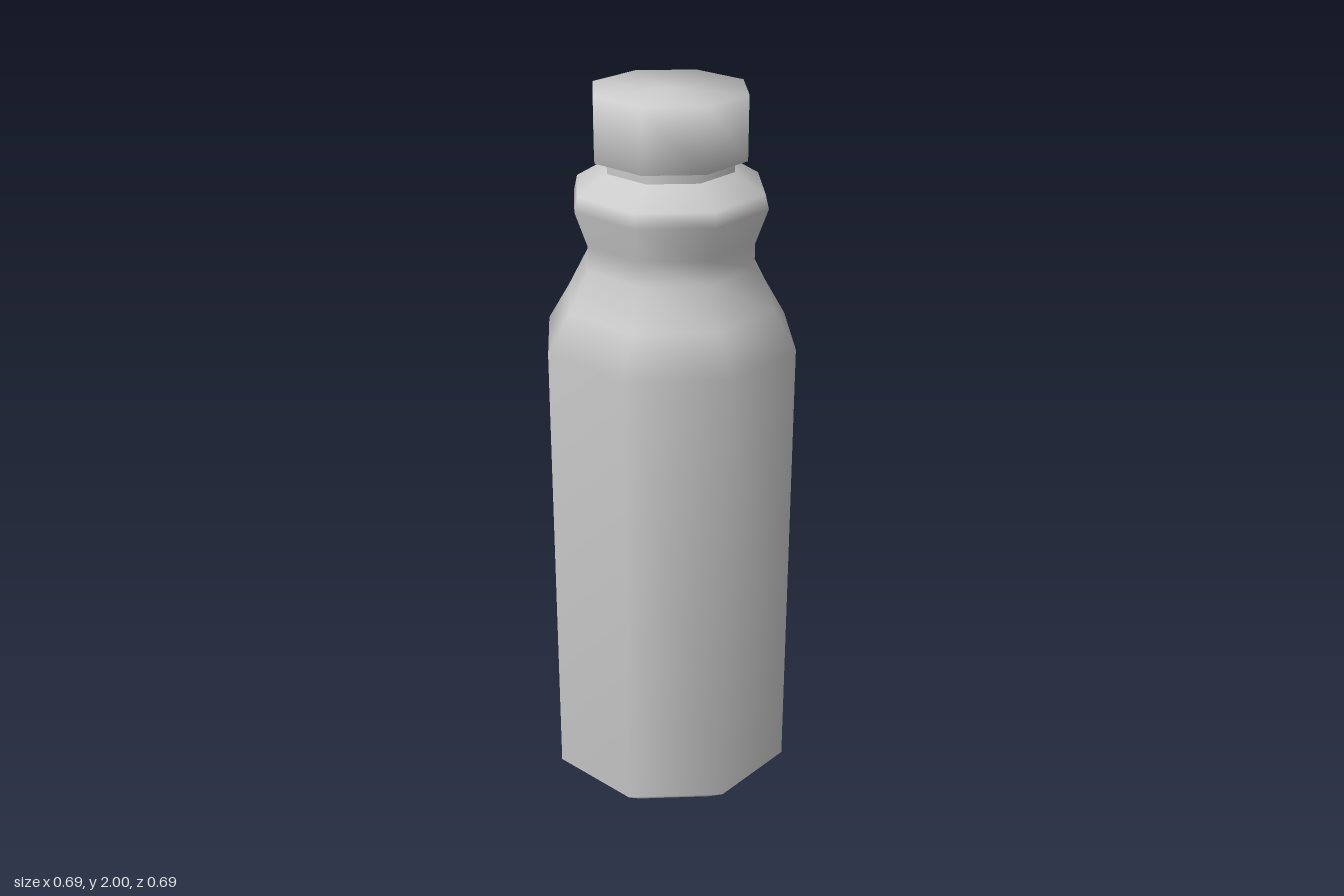
import * as THREE from 'three';

const SIDES = 8;

// Turned octagonal part with smooth normals; profile is [radius, height] from bottom to top
function turned(name, profile, material) {
  const points = profile.map(([r, y]) => new THREE.Vector2(r, y));
  const mesh = new THREE.Mesh(new THREE.LatheGeometry(points, SIDES), material);
  mesh.name = name;
  return mesh;
}

export function createModel() {
  const model = new THREE.Group();
  model.name = 'bottle';
  const material = new THREE.MeshStandardMaterial({ color: 0xcccccc });

  // Body: chamfered base, straight wall, sloping shoulder, grip waist and collar
  model.add(turned('body', [
    [0, 0],
    [0.258, 0],
    [0.347, 0.07],
    [0.347, 1.345],
    [0.285, 1.45],
    [0.23, 1.555],
    [0.23, 1.62],
    [0.264, 1.715],
    [0.255, 1.752],
    [0.173, 1.802],
  ], material));

  // Short neck, hidden end runs up inside the cap
  model.add(turned('neck', [[0.173, 1.795], [0.173, 1.84]], material));

  // Cap with underside and flat top
  model.add(turned('cap', [[0.15, 1.833], [0.207, 1.833], [0.207, 2], [0, 2]], material));

  return model;
}
